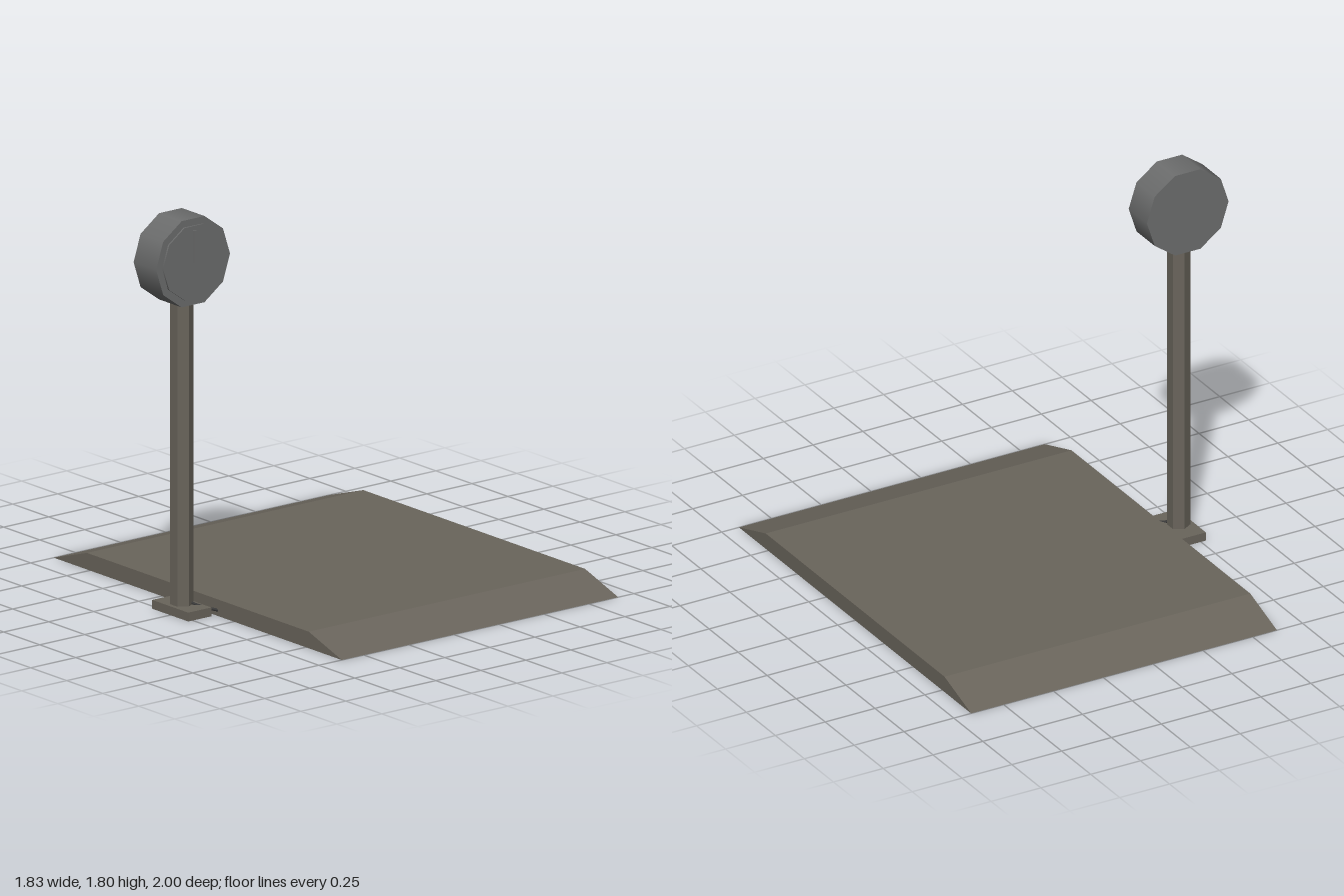
import * as THREE from 'three';

const brown = new THREE.MeshStandardMaterial({ color: 0x69645b });
const brownFlat = new THREE.MeshStandardMaterial({ color: 0x69645b, flatShading: true });
const grey = new THREE.MeshStandardMaterial({ color: 0x6c6d6d });
const dark = new THREE.MeshStandardMaterial({ color: 0x3a3a3a });
const POST_X = -0.711;
const DIAL_Y = 1.605;

function add(parent, name, geometry, material, x = 0, y = 0, z = 0) {
  const mesh = new THREE.Mesh(geometry, material);
  mesh.name = name;
  mesh.position.set(x, y, z);
  parent.add(mesh);
}

// Ten-sided drum facing +z, with corners pointing left and right
function drum(radius, depth) {
  return new THREE.CylinderGeometry(radius, radius, depth, 10, 1, false, Math.PI / 2)
    .rotateX(Math.PI / 2);
}

export function createModel() {
  const model = new THREE.Group();
  model.name = 'platformScale';

  // Weighing platform: ramped profile (shape x becomes -z) swept across the width
  const profile = new THREE.Shape([
    [-1, 0], [1, 0], [0.77, 0.075], [-0.77, 0.075],
  ].map(([x, y]) => new THREE.Vector2(x, y)));
  const platform = new THREE.ExtrudeGeometry(profile, { depth: 1.535, bevelEnabled: false })
    .rotateY(Math.PI / 2);
  add(model, 'platform', platform, brown, -0.622);

  // Six-sided column on its foot
  const column = new THREE.Group();
  column.name = 'column';
  model.add(column);
  add(column, 'foot', new THREE.BoxGeometry(0.128, 0.04, 0.25), brown, POST_X, 0.02);
  add(column, 'post', new THREE.CylinderGeometry(0.051, 0.051, 1.42, 6), brownFlat, POST_X, 0.73);

  // Dial head
  const dial = new THREE.Group();
  dial.name = 'dial';
  dial.position.set(POST_X, DIAL_Y, 0);
  model.add(dial);
  add(dial, 'dialHousing', drum(0.205, 0.157), grey);
  add(dial, 'dialFace', drum(0.172, 0.02), grey, 0, 0, 0.076);
  add(dial, 'needle', new THREE.BoxGeometry(0.012, 0.147, 0.012), grey, 0, 0.0715, 0.089);

  // Cable from the side of the column to the platform
  const path = new THREE.CatmullRomCurve3([
    new THREE.Vector3(-0.69, 0.05, 0.02),
    new THREE.Vector3(-0.655, 0.033, 0.075),
    new THREE.Vector3(-0.61, 0.024, 0.15),
  ]);
  add(model, 'cable', new THREE.TubeGeometry(path, 8, 0.007, 6), dark);

  return model;
}
